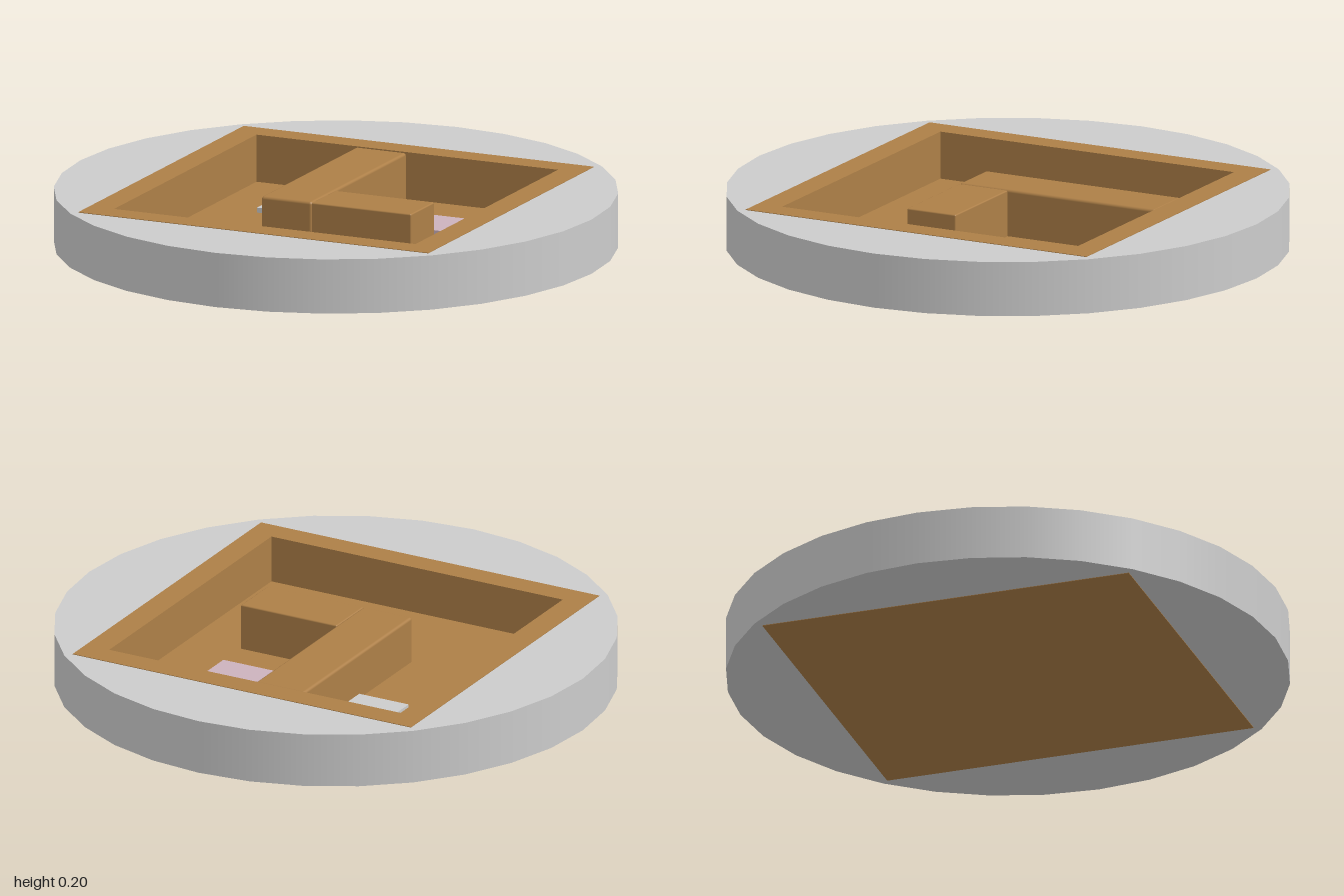
import * as THREE from 'three';
import { RoundedBoxGeometry } from 'three/addons/geometries/RoundedBoxGeometry.js';

const material = (name, color, side = THREE.FrontSide) => {
  const m = new THREE.MeshStandardMaterial({ color, side });
  m.name = name;
  return m;
};

export function createModel() {
  const group = new THREE.Group();
  const grey = material('lightGrey', 0xcccccc);
  const brown = material('woodBrown', 0xad7f47);
  const pink = material('palePink', 0xccb2bd);

  const add = (name, geometry, mat, x = 0, y = 0, z = 0) => {
    const mesh = new THREE.Mesh(geometry, mat);
    mesh.name = name;
    mesh.position.set(x, y, z);
    group.add(mesh);
    return mesh;
  };
  // Block given by its bounds on each axis, optionally with softened edges
  const block = (name, mat, [x0, x1], [y0, y1], [z0, z1], radius = 0) => {
    const size = [x1 - x0, y1 - y0, z1 - z0];
    const geometry = radius
      ? new RoundedBoxGeometry(...size, 2, radius)
      : new THREE.BoxGeometry(...size);
    return add(name, geometry, mat, (x0 + x1) / 2, (y0 + y1) / 2, (z0 + z1) / 2);
  };
  const square = (PathType, h) => new PathType([
    new THREE.Vector2(-h, -h), new THREE.Vector2(h, -h),
    new THREE.Vector2(h, h), new THREE.Vector2(-h, h),
  ]);

  const OUTER = 0.685, INNER = 0.59, FLOOR = 0.03, TOP = 0.202;

  // Round base: smooth rim with two flat faces cut out around the tray
  add('baseRim', new THREE.CylinderGeometry(1, 1, 0.198, 32, 1, true), grey, 0, 0.101, 0);
  const disc = new THREE.Shape();
  for (let i = 0; i < 32; i++) {
    const a = (i / 32) * Math.PI * 2;
    if (i === 0) disc.moveTo(1, 0);
    else disc.lineTo(Math.cos(a), Math.sin(a));
  }
  disc.closePath();
  disc.holes.push(square(THREE.Path, OUTER));
  const face = new THREE.ShapeGeometry(disc);
  add('baseTop', face, grey, 0, 0.2, 0).rotation.x = -Math.PI / 2;
  add('baseUnderside', face, grey, 0, 0.002, 0).rotation.x = Math.PI / 2;

  // Square tray: wall frame and floor
  const frame = square(THREE.Shape, OUTER);
  frame.holes.push(square(THREE.Path, INNER));
  const walls = new THREE.ExtrudeGeometry(frame, { depth: TOP, bevelEnabled: false });
  walls.rotateX(-Math.PI / 2);
  add('trayWalls', walls, brown);
  block('trayFloor', brown, [-INNER, INNER], [0, FLOOR], [-INNER, INNER]);

  // Inner partitions forming an L
  block('longPartition', brown, [-0.2, -0.002], [FLOOR - 0.01, 0.2], [-0.59, 0.197], 0.01);
  block('shortPartition', brown, [-0.002, 0.387], [FLOOR - 0.01, 0.198], [0.002, 0.197], 0.005);

  // Small square tiles on the floor
  block('greyTile', grey, [-0.4, -0.2], [FLOOR, 0.048], [-0.393, -0.19]);
  block('pinkTile', pink, [0.166, 0.368], [FLOOR, 0.05], [-0.358, -0.158]);

  return group;
}
